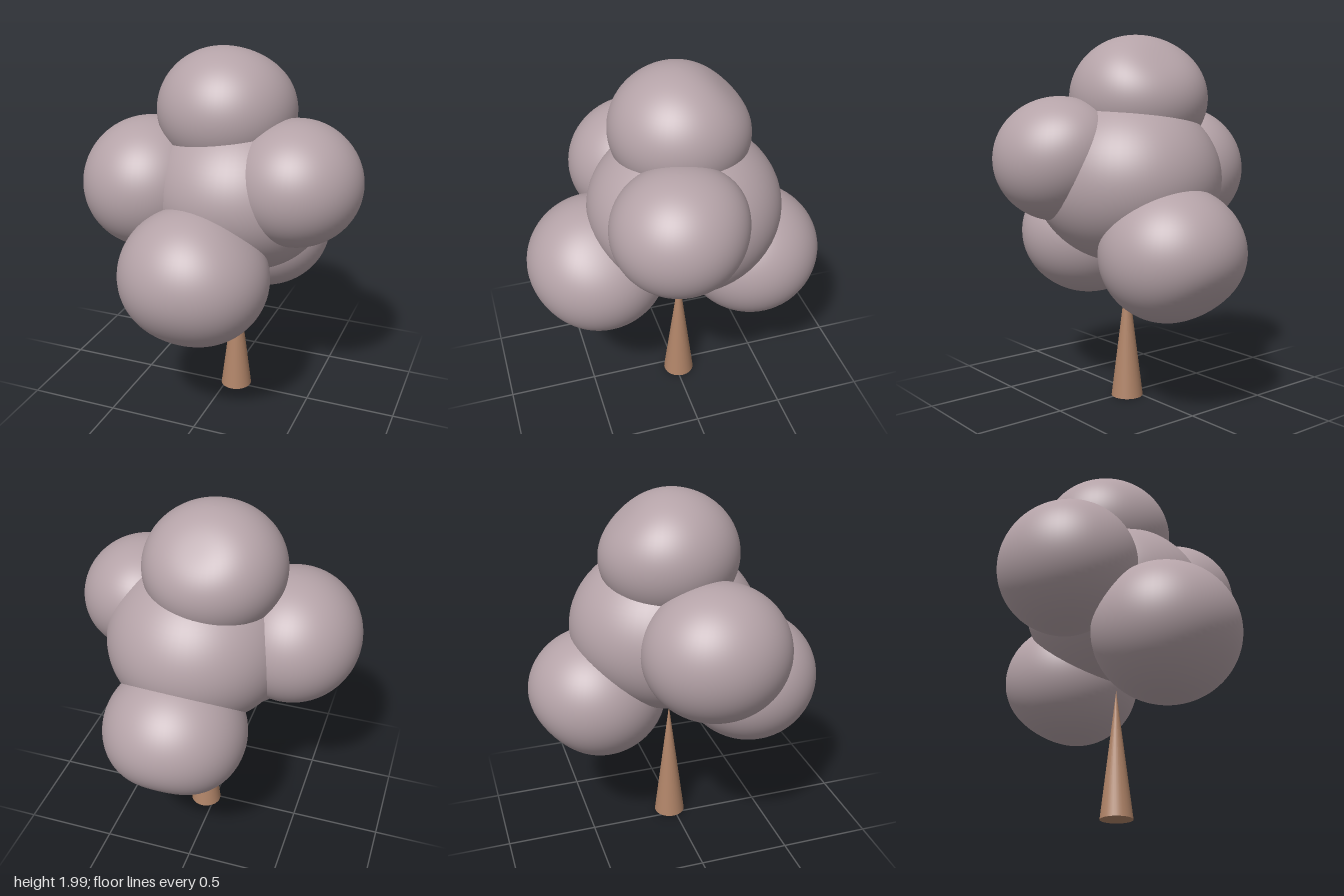
import * as THREE from 'three';

const foliage = new THREE.MeshStandardMaterial({ color: 0xb5a3a8 });
const bark = new THREE.MeshStandardMaterial({ color: 0xb08468 });

// Ellipsoid with soft bulges (positive) or dents (negative): [dx, dy, dz, amount]
function blob(name, center, radii, bumps = []) {
  const geometry = new THREE.SphereGeometry(1, 64, 48);
  const pos = geometry.attributes.position;
  const dir = new THREE.Vector3();
  const soft = bumps.map(([x, y, z, amount]) => ({ axis: new THREE.Vector3(x, y, z).normalize(), amount }));
  for (let i = 0; i < pos.count; i++) {
    dir.fromBufferAttribute(pos, i).normalize();
    let r = 1;
    for (const { axis, amount } of soft) r += amount * Math.exp(6 * (dir.dot(axis) - 1));
    pos.setXYZ(i, dir.x * r * radii[0], dir.y * r * radii[1], dir.z * r * radii[2]);
  }
  geometry.computeVertexNormals();
  // Share normals across the sphere's wrap-around seam
  const nor = geometry.attributes.normal;
  const a = new THREE.Vector3(), b = new THREE.Vector3();
  for (let row = 0; row <= 48; row++) {
    const first = row * 65, last = first + 64;
    a.fromBufferAttribute(nor, first).add(b.fromBufferAttribute(nor, last)).normalize();
    nor.setXYZ(first, a.x, a.y, a.z);
    nor.setXYZ(last, a.x, a.y, a.z);
  }
  const mesh = new THREE.Mesh(geometry, foliage);
  mesh.name = name;
  mesh.position.set(...center);
  return mesh;
}

export function createModel() {
  const tree = new THREE.Group();
  tree.name = 'tree';

  // Pointed trunk
  const trunk = new THREE.Mesh(new THREE.ConeGeometry(0.088, 0.71, 32), bark);
  trunk.name = 'trunk';
  trunk.position.set(0.055, 0.355, -0.02);
  tree.add(trunk);

  // Crown: a central mass with five lobes around it
  const crown = new THREE.Group();
  crown.name = 'crown';
  crown.add(
    blob('crownCore', [0.07, 1.22, -0.04], [0.5, 0.46, 0.525], [[0, -0.75, 0.65, -0.09], [0, -0.75, -0.65, -0.06]]),
    blob('topLobe', [-0.01, 1.66, -0.04], [0.375, 0.34, 0.375], [[0.1, 0.7, -0.7, -0.11]]),
    blob('rightLobe', [-0.41, 1.25, 0.09], [0.365, 0.36, 0.39]),
    blob('leftLobe', [0.42, 1.34, 0.095], [0.35, 0.328, 0.35], [[0, 0.6, -0.8, 0.06], [0, -0.6, -0.8, -0.05]]),
    blob('frontLobe', [-0.015, 0.885, 0.43], [0.4, 0.373, 0.39], [[0.7, 0.7, 0, -0.06], [0, -0.65, 0.75, -0.05]]),
    blob('backLobe', [0.085, 0.865, -0.43], [0.385, 0.36, 0.385], [[0, -0.68, -0.72, -0.11]]),
  );
  tree.add(crown);
  return tree;
}
